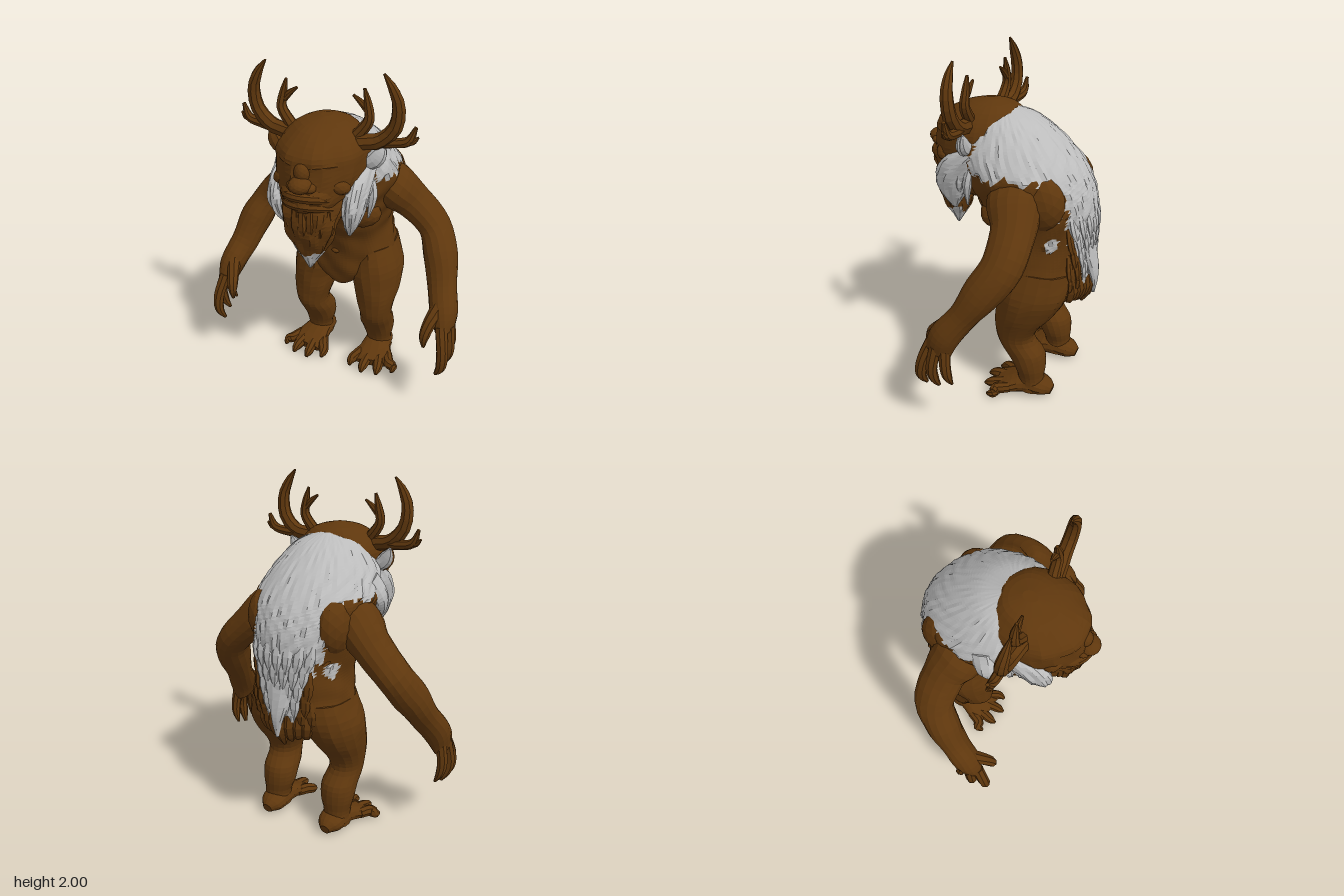
import * as THREE from 'three';

const V = (x, y, z) => new THREE.Vector3(x, y, z);
const brown = new THREE.MeshStandardMaterial({ color: 0x5f370d });
brown.name = 'brown hide';
const grey = new THREE.MeshStandardMaterial({ color: 0xbcbcbc });
grey.name = 'grey fur';

// Loft of elliptical rings through [x, y, z, rA, rB] sections.
// level keeps rings horizontal; bump(point, angle) scales the radius; paint(centre) picks grey faces.
function loft(name, sections, o = {}) {
  const { segs = 10, rows = 12, level = false, ref = V(0, 0, 1), bump, paint, mat = brown } = o;
  const path = new THREE.CatmullRomCurve3(sections.map(s => V(s[0], s[1], s[2])), false, 'catmullrom');
  const size = new THREE.CatmullRomCurve3(sections.map(s => V(s[3], s[4] ?? s[3], 0)), false, 'catmullrom');
  const up = Math.sign(sections.at(-1)[1] - sections[0][1]);
  const pts = [];
  for (let i = 0; i <= rows; i++) {
    const c = path.getPoint(i / rows), r = size.getPoint(i / rows);
    const t = level ? V(0, up, 0) : path.getTangent(i / rows);
    const a = V().crossVectors(ref, t).normalize(), b = V().crossVectors(t, a);
    for (let j = 0; j < segs; j++) {
      const w = j / segs * Math.PI * 2;
      const off = a.clone().multiplyScalar(Math.cos(w) * Math.max(r.x, 0.002))
        .addScaledVector(b, Math.sin(w) * Math.max(r.y, 0.002));
      if (bump) off.multiplyScalar(bump(c.clone().add(off), w));
      pts.push(c.clone().add(off));
    }
  }
  const last = rows * segs;
  pts.push(path.getPoint(0), path.getPoint(1));
  const lists = [[], []];
  const tri = (a, b, c) => {
    const mid = pts[a].clone().add(pts[b]).add(pts[c]).divideScalar(3);
    lists[paint && paint(mid) ? 1 : 0].push(a, b, c);
  };
  for (let j = 0; j < segs; j++) {
    const k = (j + 1) % segs;
    for (let i = 0; i < rows; i++) {
      const p = i * segs, q = p + segs;
      tri(p + j, p + k, q + k);
      tri(p + j, q + k, q + j);
    }
    tri(pts.length - 2, k, j);
    tri(pts.length - 1, last + j, last + k);
  }
  const indexed = new THREE.BufferGeometry().setFromPoints(pts);
  indexed.setIndex([...lists[0], ...lists[1]]);
  const geo = indexed.toNonIndexed();
  geo.computeVertexNormals();
  if (paint) {
    geo.addGroup(0, lists[0].length, 0);
    geo.addGroup(lists[0].length, lists[1].length, 1);
  }
  const mesh = new THREE.Mesh(geo, paint ? [brown, grey] : mat);
  mesh.name = name;
  return mesh;
}

// Faceted ellipsoid
function lump(name, [x, y, z], [rx, ry, rz], tilt = 0) {
  const geo = new THREE.IcosahedronGeometry(1, 2).scale(rx, ry, rz).rotateZ(tilt).translate(x, y, z);
  geo.computeVertexNormals();
  const mesh = new THREE.Mesh(geo, brown);
  mesh.name = name;
  return mesh;
}

const ripple = p => 1 + 0.03 * Math.sin(p.x * 31 + p.y * 17) * Math.sin(p.z * 29 + p.y * 11);
const strands = (p, w) => 1 + 0.06 * Math.sin(w * 9 + p.y * 14) + 0.04 * Math.sin(w * 5 - p.y * 37);
const shag = (p, w) => 1.005 + 0.016 * Math.sin(w * 23 + 3 * Math.sin(p.y * 19)) * Math.sin(p.y * 33 + w * 5)
  + 0.01 * Math.sin(w * 37 - p.y * 21);
const ragged = p => 0.018 * Math.sin(p.x * 53 + p.z * 31) + 0.014 * Math.sin(p.y * 47 + p.z * 83);

// y, z, half width, half depth
const body = [
  [0.545, -0.17, 0.03, 0.06], [0.6, -0.19, 0.11, 0.17], [0.7, -0.21, 0.26, 0.22], [0.8, -0.23, 0.295, 0.25],
  [0.9, -0.22, 0.275, 0.26], [1.0, -0.2, 0.262, 0.285], [1.1, -0.17, 0.28, 0.32], [1.2, -0.15, 0.305, 0.345],
  [1.3, -0.11, 0.325, 0.36], [1.4, -0.07, 0.335, 0.345], [1.5, -0.01, 0.295, 0.32], [1.58, 0.01, 0.24, 0.25],
  [1.65, 0.03, 0.17, 0.17], [1.7, 0.05, 0.06, 0.07],
];
function bodyAt(y, angle, out) {
  const i = Math.max(1, body.findIndex(s => s[0] >= y));
  const t = (y - body[i - 1][0]) / (body[i][0] - body[i - 1][0]);
  const [, z, rx, rz] = body[i].map((v, k) => THREE.MathUtils.lerp(body[i - 1][k], v, t));
  return [Math.sin(angle) * (rx + out), y, z - Math.cos(angle) * (rz + out)];
}
// Where the grey mane covers the back
const maneWidth = y => THREE.MathUtils.clamp(0.045 + (y - 0.7) * 0.36, 0, 0.22);
function inMane(p) {
  const n = ragged(p), ax = Math.abs(p.x);
  if (p.y > 1.4 + n) return p.z < -0.01 + ax * 0.55 + n;
  const patch = Math.hypot(p.y - 1.04, p.z + 0.33) < 0.04 + n * 0.5;
  return patch || (p.z < -0.22 && p.y > 0.68 && ax < maneWidth(p.y) + n);
}

function buildTorso(g) {
  g.add(loft('torso', body.map(([y, z, rx, rz]) => [0, y, z, rx, rz]), {
    segs: 80, rows: 78, level: true, paint: inMane, bump: (p, w) => inMane(p) ? shag(p, w) : ripple(p),
  }));
  g.add(lump('navel', [0, 0.85, 0.022], [0.025, 0.016, 0.015]));
  // Hanging locks low on the back, grey inside the mane and brown in its fringe
  for (let row = 0; row < 5; row++) {
    const y = 0.88 + row * 0.085;
    for (let k = -3; k <= 3; k++) {
      const angle = (k + (row % 2) * 0.4) * 0.2;
      const a = bodyAt(y, angle, -0.015), m = bodyAt(y - 0.1, angle, 0.008), e = bodyAt(y - 0.19, angle * 0.88, 0.014);
      const isGrey = Math.abs(m[0]) < maneWidth(y - 0.1);
      g.add(loft(isGrey ? 'maneLock' : 'hideLock', [[...a, 0.025, 0.008], [...m, 0.034, 0.015], [...e, 0.004]],
        { segs: 6, rows: 5, mat: isGrey ? grey : brown }));
    }
  }
  // Rump fringe
  for (let k = -3; k <= 3; k++) {
    const x = k * 0.045, d = Math.abs(k) * 0.02;
    g.add(loft('rumpFringe', [[x, 0.9, -0.42 + d, 0.03], [x, 0.76, -0.48 + d, 0.04],
      [x * 0.9, 0.67, -0.465 + d, 0.035], [x * 0.8, 0.595 + d, -0.44 + d, 0.01]], { segs: 7, rows: 7 }));
  }
  g.add(loft('maneTip', [[0, 1.0, -0.46, 0.1, 0.03], [0, 0.85, -0.495, 0.06, 0.03],
    [0, 0.77, -0.51, 0.035, 0.022], [0, 0.67, -0.51, 0.008]], { mat: grey, bump: strands }));
}

function buildHead(g) {
  const skull = [[1.29, 0.34, 0.08, 0.1], [1.34, 0.32, 0.15, 0.17], [1.4, 0.265, 0.205, 0.225], [1.47, 0.21, 0.24, 0.265],
    [1.54, 0.185, 0.245, 0.275], [1.6, 0.18, 0.235, 0.27], [1.66, 0.165, 0.195, 0.22], [1.71, 0.14, 0.13, 0.14], [1.735, 0.13, 0.03, 0.04]];
  // Skull, narrowing towards the muzzle
  g.add(loft('head', skull.map(([y, z, rx, rz]) => [0, y, z, rx, rz]), { segs: 28, rows: 22, level: true,
    bump: (p, w) => ripple(p) * (1 - 0.07 * Math.max(0, Math.sin(w)) * Math.sin(2 * w) ** 2) }));
  g.add(lump('muzzle', [0, 1.405, 0.375], [0.15, 0.075, 0.12]));
  g.add(lump('nose', [0, 1.475, 0.47], [0.062, 0.044, 0.065]));
  g.add(lump('noseBridge', [0, 1.53, 0.44], [0.045, 0.055, 0.045]));
  const lip = (name, y, z, r) => g.add(loft(name, [[-0.15, y - 0.045, z - 0.12, 0.012], [-0.08, y - 0.008, z - 0.03, r], [0, y, z, r],
    [0.08, y - 0.008, z - 0.03, r], [0.15, y - 0.045, z - 0.12, 0.012]], { segs: 8, ref: V(0, 1, 0) }));
  lip('upperLip', 1.41, 0.485, 0.026);
  lip('lowerLip', 1.36, 0.475, 0.026);
  // Beard with a grey tip and loose locks
  const greyTip = p => p.y < 1.02 + Math.abs(p.x) * 0.5 + ragged(p) * 0.5;
  g.add(loft('beard', [[0, 1.38, 0.31, 0.17, 0.14], [0, 1.28, 0.35, 0.16, 0.12], [0, 1.17, 0.365, 0.135, 0.1],
    [0, 1.07, 0.36, 0.095, 0.07], [0, 1.0, 0.365, 0.045, 0.04], [0, 0.935, 0.37, 0.006, 0.006]],
    { segs: 30, rows: 22, level: true, bump: strands, paint: greyTip }));
  for (let k = -3; k <= 3; k++) {
    const x = k * 0.04, d = k * k * 0.008;
    g.add(loft('beardLock', [[x, 1.34, 0.455 - d, 0.02], [x * 1.05, 1.22, 0.455 - d, 0.026],
      [x * 0.85, 1.08 + d * 0.6, 0.415 - d * 0.6, 0.005]], { segs: 6, rows: 6 }));
  }
  g.add(lump('throat', [0, 1.3, 0.2], [0.2, 0.14, 0.14]));
  // Grey tuft spilling over the right shoulder
  g.add(loft('shoulderTuft', [[-0.27, 1.47, 0.0, 0.05, 0.07], [-0.31, 1.38, 0.04, 0.055, 0.07], [-0.32, 1.31, 0.06, 0.035, 0.04],
    [-0.3, 1.24, 0.08, 0.006]], { mat: grey, bump: strands }));
}

// Paired parts of the head for one side
function buildHeadSide(g, s) {
  const part = (name, pts, o) => g.add(loft(name, pts.map(([x, ...r]) => [s * x, ...r]), o));
  part('brow', [[0.01, 1.555, 0.43, 0.026], [0.08, 1.565, 0.405, 0.032], [0.15, 1.56, 0.34, 0.03], [0.21, 1.52, 0.24, 0.015]],
    { segs: 8, ref: V(0, 1, 0), bump: ripple });
  part('eyePouch', [[0.05, 1.515, 0.415, 0.018], [0.1, 1.505, 0.395, 0.024], [0.17, 1.51, 0.31, 0.012]], { segs: 8, ref: V(0, 1, 0) });
  g.add(lump('cheek', [s * 0.135, 1.455, 0.335], [0.085, 0.05, 0.065], s * -0.4));
  g.add(lump('nostril', [s * 0.045, 1.462, 0.46], [0.036, 0.027, 0.035]));
  // Ear, with a back shell behind it
  const ear = [[0.2, 1.5, 0.16, 0.03, 0.025], [0.27, 1.53, 0.165, 0.046, 0.028], [0.305, 1.575, 0.16, 0.04, 0.022], [0.325, 1.62, 0.15, 0.006]];
  part('ear', ear, { segs: 8, rows: 8, mat: s > 0 ? grey : brown });
  part('earBack', ear.map(([x, y, z, a, b]) => [x, y, z - 0.014, a * 0.9, b]), { segs: 8, rows: 8, mat: grey });
  // Antler tines
  const tine = (...pts) => part('antler', pts, { segs: 8, rows: 14, bump: ripple });
  tine([0.14, 1.61, 0.19, 0.05], [0.22, 1.63, 0.18, 0.044], [0.31, 1.65, 0.17, 0.042], [0.385, 1.73, 0.17, 0.038],
    [0.4, 1.84, 0.175, 0.034], [0.365, 1.93, 0.18, 0.024], [0.32, 1.995, 0.18, 0.006]);
  tine([0.27, 1.635, 0.17, 0.032], [0.37, 1.64, 0.155, 0.028], [0.45, 1.66, 0.15, 0.025], [0.485, 1.735, 0.145, 0.01]);
  tine([0.43, 1.655, 0.15, 0.02], [0.47, 1.66, 0.15, 0.018], [0.5, 1.685, 0.145, 0.006]);
  tine([0.15, 1.63, 0.18, 0.036], [0.2, 1.68, 0.17, 0.032], [0.245, 1.75, 0.165, 0.028], [0.235, 1.83, 0.16, 0.022], [0.215, 1.905, 0.16, 0.008]);
  tine([0.235, 1.79, 0.16, 0.018], [0.2, 1.83, 0.16, 0.017], [0.155, 1.865, 0.16, 0.007]);
  // Grey tuft under the jowl
  part('neckTuft', [[0.2, 1.51, 0.1, 0.07, 0.1], [0.215, 1.42, 0.19, 0.065, 0.14], [0.215, 1.31, 0.265, 0.058, 0.11],
    [0.205, 1.21, 0.28, 0.04, 0.065], [0.19, 1.13, 0.275, 0.008, 0.01]], { segs: 22, rows: 16, level: true, bump: strands, mat: grey });
  for (let k = 0; k < 4; k++) {
    const z = 0.13 + k * 0.06, x = 0.27 - k * 0.02;
    part('neckLock', [[x - 0.02, 1.43, z, 0.02], [x, 1.32, z + 0.02, 0.026], [x - 0.02, 1.19 + (k % 2) * 0.05, z + 0.03, 0.005]],
      { segs: 6, rows: 6, mat: grey });
  }
}

function buildLimbs(g, s) {
  const part = (name, pts, o) => g.add(loft(name, pts.map(([x, ...r]) => [s * x, ...r]), { bump: ripple, ...o }));
  // Arm and hand
  part('arm', [[0.17, 1.32, -0.13, 0.11, 0.13], [0.28, 1.27, -0.14, 0.125, 0.15], [0.39, 1.17, -0.185, 0.105, 0.125], [0.53, 1.03, -0.19, 0.09, 0.115],
    [0.6, 0.89, -0.11, 0.098, 0.105], [0.645, 0.75, -0.02, 0.087, 0.08], [0.69, 0.63, 0.07, 0.078, 0.088], [0.71, 0.53, 0.11, 0.05, 0.08]],
    { segs: 16, rows: 30 });
  part('finger', [[0.7, 0.58, 0.15, 0.036], [0.73, 0.45, 0.2, 0.034], [0.73, 0.35, 0.215, 0.029], [0.7, 0.28, 0.2, 0.01]], { segs: 8 });
  part('finger', [[0.73, 0.57, 0.11, 0.036], [0.75, 0.44, 0.13, 0.033], [0.74, 0.36, 0.125, 0.027], [0.715, 0.3, 0.11, 0.01]], { segs: 8 });
  part('finger', [[0.72, 0.58, 0.06, 0.034], [0.74, 0.46, 0.05, 0.031], [0.735, 0.39, 0.04, 0.025], [0.71, 0.33, 0.03, 0.008]], { segs: 8 });
  part('thumb', [[0.67, 0.68, 0.08, 0.045], [0.635, 0.6, 0.17, 0.036], [0.62, 0.53, 0.21, 0.029], [0.62, 0.46, 0.21, 0.01]], { segs: 8 });
  // Leg
  part('leg', [[0.16, 0.85, -0.23, 0.13, 0.2], [0.18, 0.7, -0.21, 0.165, 0.21], [0.2, 0.58, -0.175, 0.145, 0.18], [0.21, 0.47, -0.13, 0.118, 0.135],
    [0.215, 0.38, -0.12, 0.098, 0.115], [0.205, 0.29, -0.175, 0.105, 0.12], [0.205, 0.2, -0.21, 0.1, 0.095],
    [0.21, 0.12, -0.22, 0.08, 0.08], [0.21, 0.04, -0.225, 0.085, 0.09]], { segs: 18, rows: 26, level: true });
  // Foot and splayed toes
  part('foot', [[0.205, 0.045, -0.355, 0.03, 0.03], [0.205, 0.06, -0.3, 0.075, 0.055], [0.21, 0.07, -0.19, 0.09, 0.065],
    [0.225, 0.05, -0.09, 0.115, 0.046], [0.235, 0.033, -0.02, 0.11, 0.028]], { segs: 14, ref: V(0, 1, 0) });
  [[0.1, 0.035], [0.19, 0.07], [0.285, 0.055], [0.37, 0.0]].forEach(([x, z]) => {
    const root = 0.225 + (x - 0.235) * 0.6;
    part('toe', [[root, 0.055, -0.12, 0.03], [(root + x) / 2, 0.046, -0.05, 0.034], [x, 0.032, z - 0.04, 0.03], [x * 1.01, 0.015, z, 0.01]],
      { segs: 8, ref: V(0, 1, 0) });
  });
  g.add(lump('chestMuscle', [s * 0.13, 1.15, 0.03], [0.15, 0.1, 0.085]));
  g.add(lump('shoulderBlade', [s * 0.215, 1.27, -0.265], [0.1, 0.16, 0.135]));
}

export function createModel() {
  const model = new THREE.Group();
  model.name = 'antleredBeast';
  const section = (name, build, ...args) => {
    const g = new THREE.Group();
    g.name = name;
    build(g, ...args);
    model.add(g);
  };
  section('body', buildTorso);
  section('headAndBeard', buildHead);
  for (const [side, s] of [['left', 1], ['right', -1]]) {
    section(side + 'HeadParts', buildHeadSide, s);
    section(side + 'Limbs', buildLimbs, s);
  }
  return model;
}
